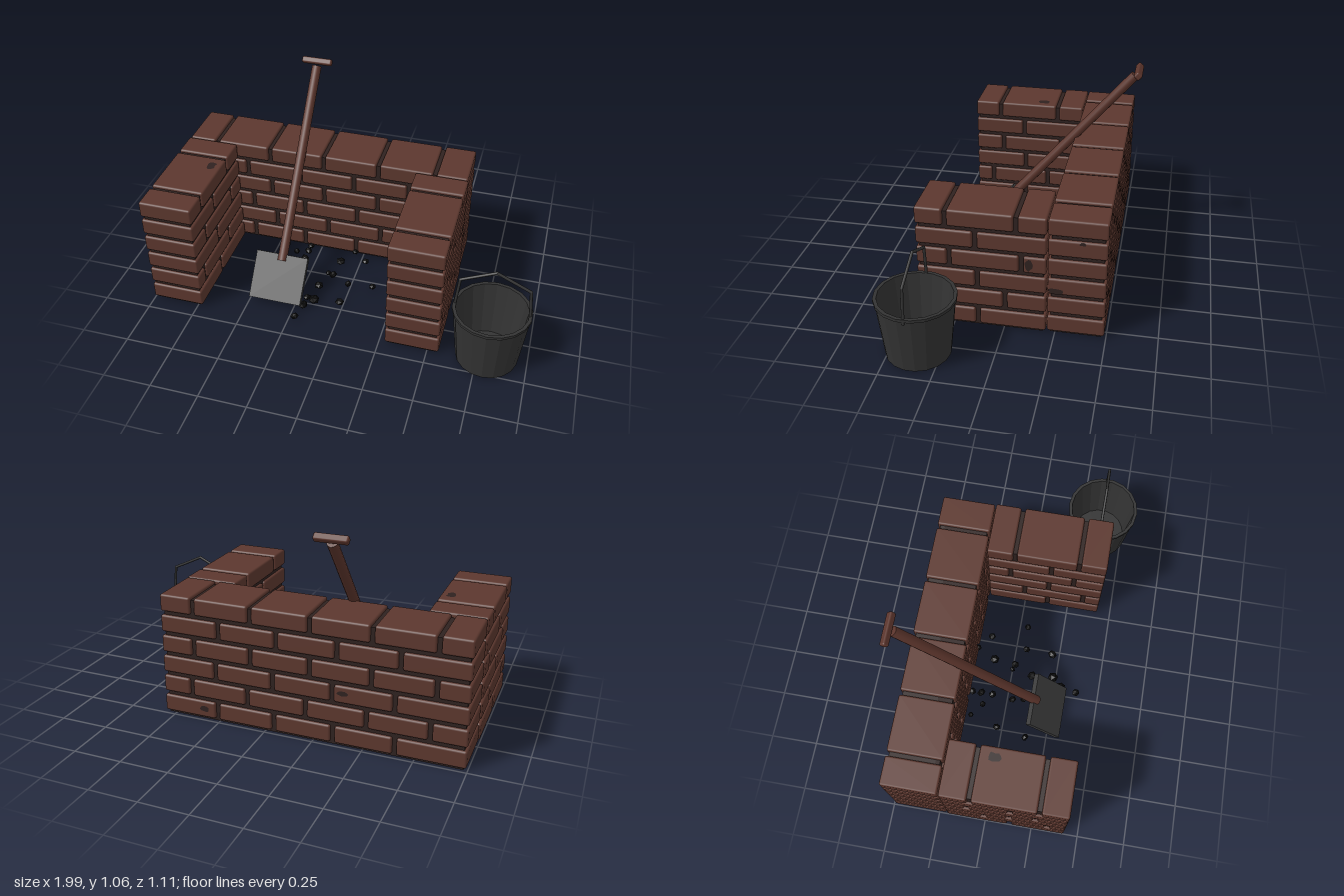
import * as THREE from 'three';
import { RoundedBoxGeometry } from 'three/addons/geometries/RoundedBoxGeometry.js';

const mat = (name, color, side = THREE.FrontSide) => {
  const m = new THREE.MeshStandardMaterial({ color, side });
  m.name = name;
  return m;
};

export function createModel() {
  const brick = mat('brick red', 0x5c372e);
  const mortar = mat('mortar brown', 0x2f2220);
  const wood = mat('handle wood', 0x5c352c);
  const steel = mat('shovel steel', 0x3b3b3b);
  const iron = mat('bucket iron', 0x333333, THREE.DoubleSide);
  const coalBlack = mat('coal black', 0x0d0d0d);

  let seed = 7;
  const rand = () => (seed = (seed * 16807) % 2147483647) / 2147483647;

  const root = new THREE.Group();
  root.name = 'brickForge';
  const add = (parent, name, geo, material, x = 0, y = 0, z = 0) => {
    const m = new THREE.Mesh(geo, material);
    m.name = name;
    m.position.set(x, y, z);
    parent.add(m);
    return m;
  };
  const group = (name) => {
    const g = new THREE.Group();
    g.name = name;
    root.add(g);
    return g;
  };
  const facet = (geo) => {
    const g = geo.index ? geo.toNonIndexed() : geo;
    g.computeVertexNormals();
    return g;
  };
  // Straight rod between two points
  const rod = (parent, name, a, b, r, sides, material) => {
    const d = b.clone().sub(a);
    const m = add(parent, name, new THREE.CylinderGeometry(r, r, d.length(), sides), material);
    m.position.copy(a).addScaledVector(d, 0.5);
    m.quaternion.setFromUnitVectors(new THREE.Vector3(0, 1, 0), d.normalize());
    return m;
  };

  // Walls: a mortar core with six courses of rounded bricks along local x
  const PITCH = 0.1085, BRICK_H = 0.088, DEPTH = 0.28, GAP = 0.022;
  const buildWall = (name, from, to, joints) => {
    const wall = group(name);
    add(wall, 'mortarCore', new THREE.BoxGeometry(to - from - 0.03, 0.628, DEPTH - 0.03), mortar, (from + to) / 2, 0.314, 0);
    joints.forEach((row, i) => {
      const cuts = [from - GAP / 2, ...row, to + GAP / 2];
      for (let k = 0; k < cuts.length - 1; k++) {
        const a = cuts[k] + GAP / 2, b = cuts[k + 1] - GAP / 2;
        add(wall, 'brick', new RoundedBoxGeometry(b - a, BRICK_H, DEPTH, 2, 0.011), brick,
          (a + b) / 2, 0.012 + BRICK_H / 2 + i * PITCH, 0);
      }
    });
    return wall;
  };

  const rowsBack = [];
  for (let i = 0; i < 6; i++) {
    const start = [-0.655, -0.82, -0.65, -0.84, -0.67, -0.84][i];
    const row = [];
    for (let x = start; x < 0.5; x += 0.305) row.push(x);
    rowsBack.push(row);
  }
  buildWall('backWall', -0.995, 0.555, rowsBack).position.z = -0.352;

  // Side walls: local x runs toward the back after the turn
  const rowsSide = [[-0.13], [-0.33, 0.005], [-0.13], [-0.265, 0.085], [-0.137], [-0.28, 0.06]];
  [['rightWall', -0.86], ['leftWall', 0.42]].forEach(([name, x]) => {
    const w = buildWall(name, -0.425, 0.207, rowsSide);
    w.position.x = x;
    w.rotation.y = Math.PI / 2;
  });

  // Chipped spots: thin irregular plates lying on brick faces
  const chips = group('chips');
  const chip = (x, y, z, w, h, rx, ry) => {
    const pts = [];
    for (let i = 0; i < 11; i++) {
      const a = (i / 11) * Math.PI * 2, r = 0.7 + 0.4 * rand();
      pts.push(new THREE.Vector2(Math.cos(a) * r * w, Math.sin(a) * r * h));
    }
    const m = add(chips, 'chip', new THREE.ShapeGeometry(new THREE.Shape(pts)), mortar, x, y, z);
    m.rotation.set(rx, ry, 0);
  };
  const Q = Math.PI / 2;
  chip(-0.772, 0.6445, 0.025, 0.026, 0.036, -Q, 0);
  chip(0.557, 0.25, -0.25, 0.04, 0.018, 0, Q);
  chip(0.557, 0.525, -0.375, 0.018, 0.008, 0, Q);
  chip(0.5615, 0.385, -0.125, 0.022, 0.036, 0, Q);
  chip(0.23, 0.135, -0.2105, 0.03, 0.012, 0, 0);
  chip(0.33, 0.06, -0.4935, 0.03, 0.018, 0, Math.PI);
  chip(-0.4, 0.28, -0.4935, 0.028, 0.014, 0, Math.PI);

  // Shovel leaning over the back wall
  const shovel = group('shovel');
  const top = new THREE.Vector3(-0.35, 1.013, -0.517);
  const foot = new THREE.Vector3(-0.35, 0.2, 0.17);
  rod(shovel, 'shaft', top, foot, 0.026, 12, wood);
  const tilt = -Math.atan2(foot.z - top.z, top.y - foot.y);
  const grip = add(shovel, 'grip', new RoundedBoxGeometry(0.165, 0.034, 0.036, 2, 0.009), wood, -0.352, 1.035, -0.535);
  grip.rotation.x = tilt;
  const blade = add(shovel, 'blade', new THREE.BoxGeometry(0.285, 0.253, 0.03), steel, -0.352, 0.127, 0.227);
  blade.rotation.x = tilt;

  // Tapered bucket with a bent wire handle
  const bucket = group('bucket');
  bucket.position.set(0.795, 0, 0.362);
  const profile = [[0, 0.002], [0.157, 0.002], [0.189, 0.305], [0.195, 0.305], [0.195, 0.32],
    [0.178, 0.32], [0.143, 0.025], [0, 0.025]].map((p) => new THREE.Vector2(...p));
  add(bucket, 'pail', facet(new THREE.LatheGeometry(profile, 18)), iron);
  const bail = [[-0.185, 0.29], [-0.168, 0.47], [0, 0.55], [0.168, 0.47], [0.185, 0.29]]
    .map(([x, y]) => new THREE.Vector3(x, y, 0));
  for (let i = 0; i < 4; i++) rod(bucket, 'bail', bail[i], bail[i + 1], 0.0075, 8, iron);
  for (let i = 1; i < 4; i++) add(bucket, 'bailBend', new THREE.SphereGeometry(0.0075, 8, 6), iron).position.copy(bail[i]);

  // Scattered coal lumps: x, z, radius
  const coal = group('coal');
  [[-0.445, -0.185, 0.016], [-0.31, -0.2, 0.018], [-0.31, -0.15, 0.022], [-0.375, -0.13, 0.02],
    [-0.31, -0.085, 0.022], [-0.05, -0.215, 0.018], [0.03, -0.15, 0.018], [-0.105, -0.11, 0.023],
    [-0.49, -0.03, 0.022], [-0.145, 0, 0.018], [-0.115, 0.01, 0.022], [-0.32, 0.03, 0.02],
    [0.12, 0.045, 0.02], [-0.015, 0.06, 0.021], [-0.165, 0.115, 0.023], [-0.52, 0.135, 0.02],
    [-0.02, 0.21, 0.022], [-0.155, 0.235, 0.031], [-0.2, 0.285, 0.026], [-0.22, 0.375, 0.02],
    [-0.31, 0.09, 0.02], [-0.2, 0.22, 0.02]].forEach(([x, z, r]) => {
    const lump = add(coal, 'coalLump', facet(new THREE.IcosahedronGeometry(r, 0)), coalBlack, x, r * 0.8, z);
    lump.scale.set(0.85 + 0.35 * rand(), 0.8, 0.85 + 0.35 * rand());
    lump.rotation.y = rand() * 6;
  });

  return root;
}
